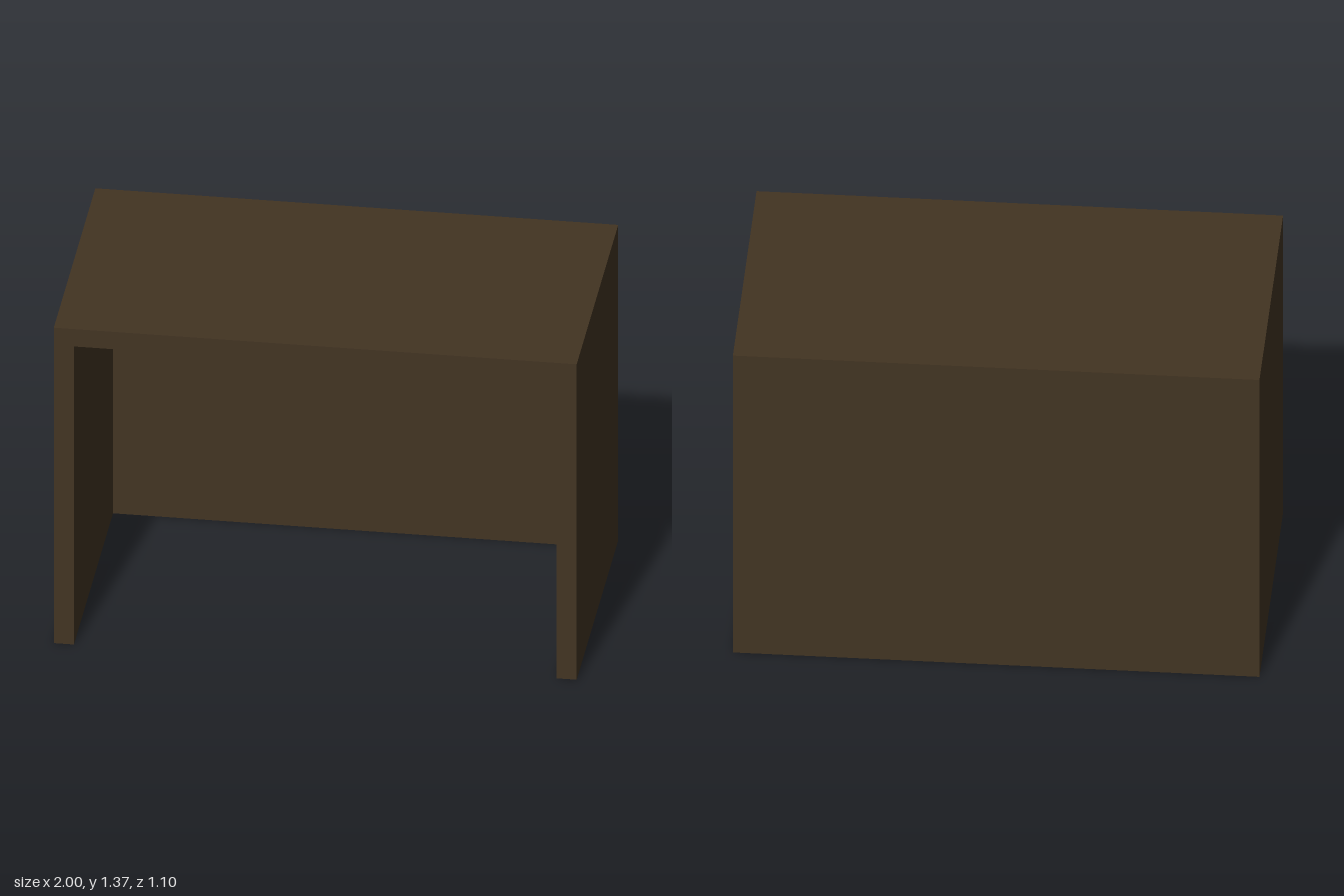
import * as THREE from 'three';

const W = 2, H = 1.365, D = 1.1;           // overall size
const SIDE = 0.077, TOP = 0.075, BACK = 0.065; // panel thicknesses

export function createModel() {
  const group = new THREE.Group();
  group.name = 'desk';
  const darkWood = new THREE.MeshStandardMaterial({ color: 0x423422 });
  darkWood.name = 'darkWood';

  // Top and both side panels as one seamless arch, open at the front and below
  const w = W / 2, i = w - SIDE, h = H - TOP;
  const arch = new THREE.Shape([
    [-w, 0], [-i, 0], [-i, h], [i, h], [i, 0], [w, 0], [w, H], [-w, H],
  ].map(([x, y]) => new THREE.Vector2(x, y)));
  const shellGeometry = new THREE.ExtrudeGeometry(arch, { depth: D - BACK, bevelEnabled: false });
  shellGeometry.translate(0, 0, -D / 2 + BACK);
  const shell = new THREE.Mesh(shellGeometry, darkWood);
  shell.name = 'topAndSides';
  group.add(shell);

  // Full-height back panel
  const back = new THREE.Mesh(new THREE.BoxGeometry(W, H, BACK), darkWood);
  back.name = 'backPanel';
  back.position.set(0, H / 2, -D / 2 + BACK / 2);
  group.add(back);

  return group;
}
